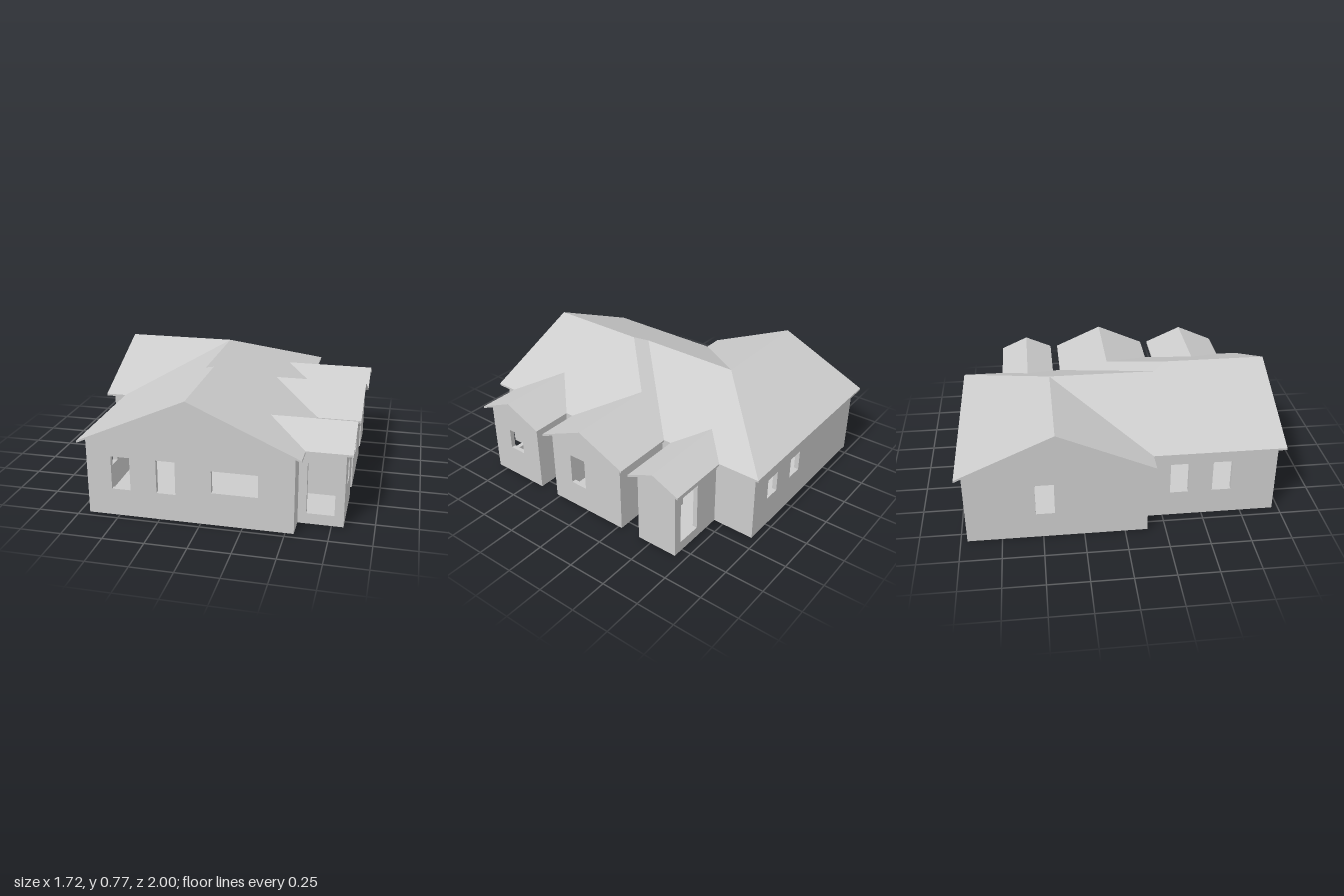
import * as THREE from 'three';

const EAVE = 0.475, SLOPE = 0.445, ROOF = 0.013, WALL_TOP = 0.478, WALL = 0.03;
const material = new THREE.MeshStandardMaterial({ color: 0xcccccc, flatShading: true });

// Flat plan shape given as [x, z] points, extruded upwards
function planPrism(points, depth) {
  const shape = new THREE.Shape(points.map(([x, z]) => new THREE.Vector2(x, -z)));
  return new THREE.ExtrudeGeometry(shape, { depth, bevelEnabled: false }).rotateX(-Math.PI / 2);
}

function addMesh(parent, name, geometry) {
  const mesh = new THREE.Mesh(geometry, material);
  mesh.name = name;
  parent.add(mesh);
  return mesh;
}

// Roof plane rising at one pitch from an eave line; dir is the uphill direction
function roofPlane(axis, eave, dir, points) {
  const geo = planPrism(points, ROOF);
  const p = geo.attributes.position;
  for (let i = 0; i < p.count; i++) {
    const c = axis === 'x' ? p.getX(i) : p.getZ(i);
    p.setY(i, p.getY(i) + EAVE - ROOF + SLOPE * (c - eave) * dir);
  }
  geo.computeVertexNormals();
  return geo;
}

// Wall from a to b, outside on the right-hand side; openings are [from, to, bottom, top]
function wall(a, b, { gable = false, openings = [] }) {
  const dx = b[0] - a[0], dz = b[1] - a[1], len = Math.hypot(dx, dz);
  const start = Math.abs(dx) > Math.abs(dz) ? a[0] : a[1];
  const shape = new THREE.Shape();
  shape.moveTo(0, 0).lineTo(len, 0).lineTo(len, WALL_TOP);
  if (gable) shape.lineTo(len / 2, WALL_TOP + SLOPE * len / 2);
  shape.lineTo(0, WALL_TOP);
  for (const [from, to, y0, y1] of openings) {
    const u = [Math.abs(from - start), Math.abs(to - start)].sort((m, n) => m - n);
    const hole = new THREE.Path();
    hole.moveTo(u[0], y0).lineTo(u[0], y1).lineTo(u[1], y1).lineTo(u[1], y0).closePath();
    shape.holes.push(hole);
  }
  return new THREE.ExtrudeGeometry(shape, { depth: WALL, bevelEnabled: false })
    .translate(0, 0, -WALL)
    .rotateY(Math.atan2(-dz, dx))
    .translate(a[0], 0, a[1]);
}

export function createModel() {
  const house = new THREE.Group();
  house.name = 'house';

  const tall = (from, to) => [from, to, 0.17, 0.377];
  const small = (from, to) => [from, to, 0.205, 0.343];
  const door = [0.6, 0.765, 0.067, 0.387];

  // Each entry is a corner and the wall that runs on from it
  const walls = [
    { at: [-0.69, 0.96], name: 'frontWall', gable: true,
      openings: [tall(-0.54, -0.425), tall(-0.265, -0.15), small(0.065, 0.34)] },
    { at: [0.55, 0.96], name: 'frontCornerWall' },
    { at: [0.55, 0.82], name: 'porchFrontWall', openings: [door] },
    { at: [0.82, 0.82], name: 'porchGableWall', gable: true, openings: [small(0.56, 0.675)] },
    { at: [0.82, 0.415], name: 'porchBackWall' },
    { at: [0.55, 0.415], name: 'frontRecessWall' },
    { at: [0.55, 0.275], name: 'middleBayFrontWall' },
    { at: [0.82, 0.275], name: 'middleBayGableWall', gable: true, openings: [tall(0.012, 0.128)] },
    { at: [0.82, -0.275], name: 'middleBayBackWall' },
    { at: [0.41, -0.275], name: 'rearRecessWall' },
    { at: [0.41, -0.412], name: 'rearBayFrontWall' },
    { at: [0.82, -0.412], name: 'rearBayGableWall', gable: true },
    { at: [0.82, -0.685], name: 'rearBayBackWall', openings: [door] },
    { at: [0.41, -0.685], name: 'rearCornerWall' },
    { at: [0.41, -0.96], name: 'backWall', openings: [small(0.147, 0.257), small(-0.125, -0.012)] },
    { at: [-0.82, -0.96], name: 'wingGableWall', gable: true, openings: [tall(-0.54, -0.425)] },
    { at: [-0.82, 0.138], name: 'wingFrontWall' },
    { at: [-0.69, 0.138], name: 'sideWall', openings: [tall(0.295, 0.41), tall(0.56, 0.68)] },
  ];
  const wallGroup = new THREE.Group();
  wallGroup.name = 'walls';
  walls.forEach((w, i) =>
    addMesh(wallGroup, w.name, wall(w.at, walls[(i + 1) % walls.length].at, w)));
  house.add(wallGroup);

  // Floor slab
  addMesh(house, 'floor', planPrism(walls.map((w) => w.at), 0.01));

  // Main roof planes, meeting in ridges, hips and valleys
  const roof = new THREE.Group();
  roof.name = 'roof';
  const planes = [
    ['frontRoofOuterSlope', 'x', -0.73, 1,
      [[-0.73, 0.18], [-0.73, 1], [-0.07, 1], [-0.07, 0.34], [-0.14, 0.27], [-0.14, -0.41]]],
    ['frontRoofInnerSlope', 'x', 0.59, -1,
      [[-0.07, 1], [0.59, 1], [0.59, 0.86], [0.345, 0.615], [0.59, 0.37], [0.59, 0.32], [0.27, 0], [-0.07, 0.34]]],
    ['wingRoofFrontSlope', 'z', 0.18, -1,
      [[-0.86, 0.18], [-0.73, 0.18], [-0.14, -0.41], [-0.86, -0.41]]],
    ['wingRoofBackSlope', 'z', -1, 1,
      [[-0.86, -1], [-0.86, -0.41], [-0.14, -0.41], [0.45, -1]]],
    ['rearRoofHipSlope', 'x', 0.45, -1,
      [[-0.14, -0.41], [-0.14, 0.27], [0.45, -0.32], [0.45, -0.37], [0.27, -0.55], [0.45, -0.73], [0.45, -1]]],
    ['middleBayRoofBackSlope', 'z', -0.32, 1,
      [[0.45, -0.32], [-0.14, 0.27], [-0.07, 0.34], [0.27, 0], [0.86, 0], [0.86, -0.32]]],
    ['middleBayRoofFrontSlope', 'z', 0.32, -1,
      [[0.27, 0], [0.59, 0.32], [0.86, 0.32], [0.86, 0]]],
  ];

  // Small gable roofs over the porch and the rear bay
  for (const [name, ridge, half, eaveX] of [['porch', 0.615, 0.245, 0.59], ['rearBay', -0.55, 0.18, 0.45]]) {
    for (const side of [1, -1]) {
      const e = ridge + side * half;
      planes.push([`${name}Roof${side > 0 ? 'Front' : 'Back'}Slope`, 'z', e, -side,
        [[eaveX, e], [eaveX - half, ridge], [0.86, ridge], [0.86, e]]]);
    }
  }
  for (const [name, ...args] of planes) addMesh(roof, name, roofPlane(...args));
  house.add(roof);

  return house;
}
